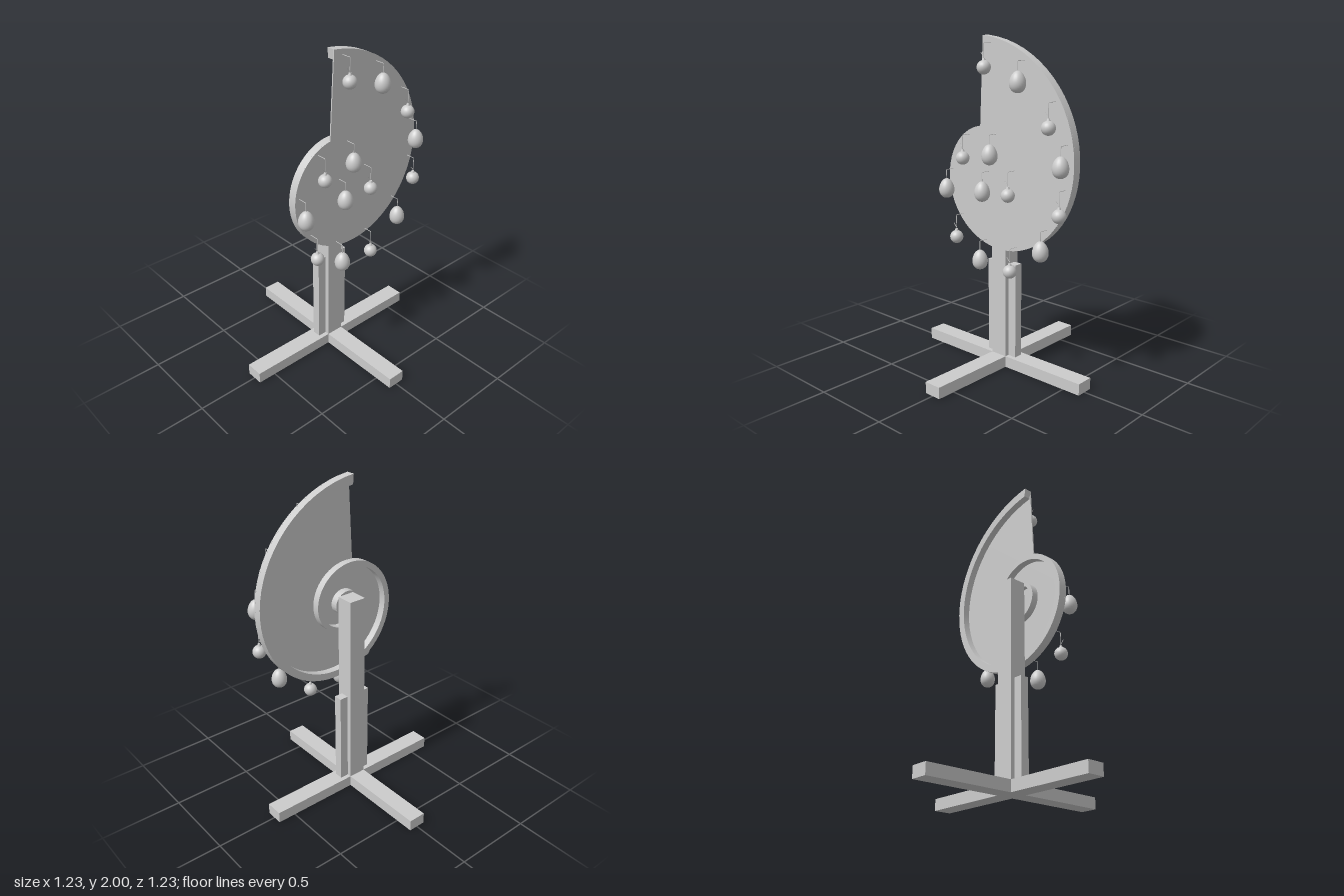
import * as THREE from 'three';
import { toCreasedNormals } from 'three/addons/utils/BufferGeometryUtils.js';

const material = new THREE.MeshStandardMaterial({ color: 0xcccccc });

function add(parent, name, geometry, x = 0, y = 0, z = 0) {
  const mesh = new THREE.Mesh(geometry, material);
  mesh.name = name;
  mesh.position.set(x, y, z);
  parent.add(mesh);
  return mesh;
}

// Logarithmic shell spiral, winding clockwise inward from the tip
const CENTRE = new THREE.Vector2(-0.003, 1.225);
const START = THREE.MathUtils.degToRad(94.6);
const spiralRadius = (t) => 0.7775 * Math.exp(-0.1714 * t);
function spiralPoint(t, r) {
  const a = START - t;
  return new THREE.Vector2(CENTRE.x + r * Math.cos(a), CENTRE.y + r * Math.sin(a));
}

function slab(points, depth) {
  const geometry = new THREE.ExtrudeGeometry(new THREE.Shape(points), { depth, bevelEnabled: false });
  return toCreasedNormals(geometry, 0.6);
}

function createShell() {
  const shell = new THREE.Group();
  shell.name = 'shellBoard';

  // Thin front board: one turn of the spiral closed by the straight mouth edge
  const outline = [];
  const turn = 6.042;
  for (let i = 0; i <= 72; i++) {
    const t = (turn * i) / 72;
    outline.push(spiralPoint(t, spiralRadius(t)));
  }
  add(shell, 'frontBoard', slab(outline, 0.008), 0, 0, 0.105);

  // Raised spiral rib on the back, tapering toward the centre
  const outer = [], inner = [];
  for (let i = 0; i <= 170; i++) {
    const t = (15 * i) / 170;
    const r = spiralRadius(t);
    outer.push(spiralPoint(t, r));
    inner.push(spiralPoint(t, r - Math.min(0.02 + 0.05 * r, 0.4 * r)));
  }
  add(shell, 'spiralRib', slab([...outer, ...inner.reverse()], 0.045), 0, 0, 0.06);
  return shell;
}

// Egg profile: rounder bottom, narrower top
const eggProfile = [];
for (let i = 0; i <= 16; i++) {
  const a = -Math.PI / 2 + (Math.PI * i) / 16;
  const s = Math.sin(a);
  eggProfile.push(new THREE.Vector2(Math.max(0, 0.046 * Math.cos(a) * (1 - 0.14 * s)), 0.06 * s));
}
const eggGeometry = new THREE.LatheGeometry(eggProfile, 24);
const ballGeometry = new THREE.SphereGeometry(0.04, 24, 16);
const capGeometry = new THREE.CylinderGeometry(0.007, 0.012, 0.014, 12);

function wire(points, radius = 0.002) {
  const path = new THREE.CurvePath();
  for (let i = 1; i < points.length; i++) {
    path.add(new THREE.LineCurve3(new THREE.Vector3(...points[i - 1]), new THREE.Vector3(...points[i])));
  }
  return new THREE.TubeGeometry(path, 24, radius, 6, false);
}

// Hooks run from the board out to the ornament, then straight down
const eggHook = wire([[0, 0.113, -0.06], [0, 0.113, 0], [0, 0.055, 0]]);
const ballHook = wire([[0, 0.135, -0.06], [0, 0.135, 0], [0, 0.04, 0]]);
const wireEnd = wire([[0, 0.058, 0], [-0.022, 0.082, 0]]);

function createOrnament(kind, x, y) {
  const ornament = new THREE.Group();
  ornament.name = kind + 'Ornament';
  ornament.position.set(x, y, 0.17);
  if (kind === 'egg') {
    add(ornament, 'egg', eggGeometry);
    add(ornament, 'hook', eggHook);
  } else {
    add(ornament, 'ball', ballGeometry);
    add(ornament, 'cap', capGeometry, 0, 0.044, 0);
    add(ornament, 'hook', ballHook);
    add(ornament, 'wireEnd', wireEnd);
  }
  return ornament;
}

export function createModel() {
  const model = new THREE.Group();
  model.name = 'ornamentStand';

  // Crossed feet, post and side braces
  const stand = new THREE.Group();
  stand.name = 'stand';
  add(stand, 'crossFoot', new THREE.BoxGeometry(1.23, 0.07, 0.11), 0, 0.035, 0);
  for (const side of [-1, 1]) {
    add(stand, 'longFoot', new THREE.BoxGeometry(0.11, 0.07, 0.56), 0, 0.035, side * 0.335);
    add(stand, 'sideBrace', new THREE.BoxGeometry(0.055, 0.59, 0.054), side * 0.0825, 0.365, 0);
  }
  add(stand, 'post', new THREE.BoxGeometry(0.11, 1.23, 0.11), 0, 0.685, 0);
  model.add(stand);

  model.add(createShell());

  // Hanging ornaments
  const balls = [[-0.005, 1.825], [0.46, 1.525], [-0.18, 1.295], [0.175, 1.12],
    [0.54, 1.06], [-0.24, 0.805], [0.19, 0.675]];
  const eggs = [[0.245, 1.755], [0.035, 1.337], [0.545, 1.325], [-0.025, 1.115],
    [-0.32, 1.095], [0.415, 0.84], [-0.045, 0.7]];
  for (const [x, y] of balls) model.add(createOrnament('ball', x, y));
  for (const [x, y] of eggs) model.add(createOrnament('egg', x, y));
  return model;
}
